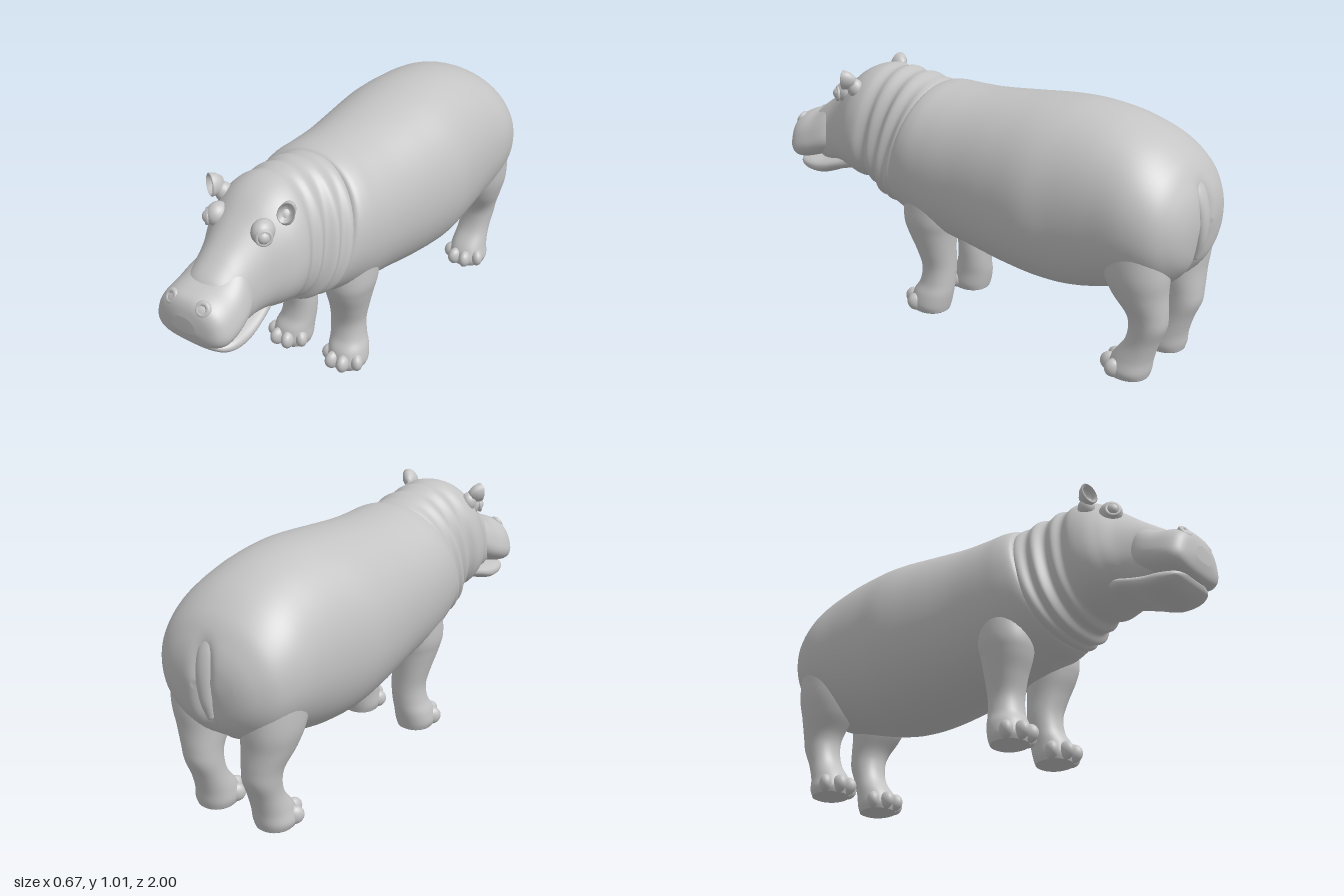
import * as THREE from 'three';

const skin = new THREE.MeshStandardMaterial({ color: 0xc4c4c4 });
skin.name = 'grey skin';

// Smooth Catmull-Rom resampling of rows of numbers
function resample(rows, steps) {
  const out = [];
  const last = rows.length - 1;
  for (let k = 0; k <= last * steps; k++) {
    const i = Math.min(Math.floor(k / steps), last - 1);
    const t = k / steps - i;
    const a = rows[Math.max(i - 1, 0)], b = rows[i], c = rows[i + 1], d = rows[Math.min(i + 2, last)];
    out.push(b.map((v, n) => 0.5 * (2 * v + (c[n] - a[n]) * t
      + (2 * a[n] - 5 * v + 4 * c[n] - d[n]) * t * t
      + (3 * v - a[n] - 3 * c[n] + d[n]) * t * t * t)));
  }
  return out;
}

// Skin over closed rings; each ring has centre c, half axes u and v
function loft(name, rings, { power = 2, taper = 0, shape = null, sides = 56 } = {}) {
  const pos = [], index = [];
  const curve = (v) => Math.sign(v) * Math.abs(v) ** (2 / power);
  for (const { c, u, v } of rings) {
    for (let i = 0; i < sides; i++) {
      const a = (i / sides) * Math.PI * 2;
      const sn = curve(Math.sin(a));
      const cs = curve(Math.cos(a)) * (1 - taper * sn);
      const p = new THREE.Vector3().copy(c).addScaledVector(u, cs).addScaledVector(v, sn);
      if (shape) shape(p);
      pos.push(p.x, p.y, p.z);
    }
  }
  for (let j = 0; j < rings.length - 1; j++) {
    for (let i = 0; i < sides; i++) {
      const a = j * sides + i, b = j * sides + (i + 1) % sides;
      index.push(a, b, a + sides, b, b + sides, a + sides);
    }
  }
  // End caps
  const n = rings.length * sides, e = n - sides;
  for (const r of [rings[0], rings[rings.length - 1]]) {
    const p = r.c.clone();
    if (shape) shape(p);
    pos.push(p.x, p.y, p.z);
  }
  for (let i = 0; i < sides; i++) {
    const k = (i + 1) % sides;
    index.push(n, k, i, n + 1, e + i, e + k);
  }
  const g = new THREE.BufferGeometry();
  g.setAttribute('position', new THREE.Float32BufferAttribute(pos, 3));
  g.setIndex(index);
  g.computeVertexNormals();
  const mesh = new THREE.Mesh(g, skin);
  mesh.name = name;
  return mesh;
}

// Rows: [top z, top y, bottom z, bottom y, half width], from back to front
const along = (rows) => resample(rows, 8).map(([zt, yt, zb, yb, w]) => ({
  c: new THREE.Vector3(0, (yt + yb) / 2, (zt + zb) / 2),
  u: new THREE.Vector3(w, 0, 0),
  v: new THREE.Vector3(0, (yt - yb) / 2, (zt - zb) / 2),
}));

// Rows: [y, centre x, centre z, x radius, z radius], from top to bottom
const down = (rows, side = 1) => resample(rows, 6).map(([y, x, z, rx, rz]) => ({
  c: new THREE.Vector3(x * side, y, z),
  u: new THREE.Vector3(rx, 0, 0),
  v: new THREE.Vector3(0, 0, rz),
}));

function ball(name, x, y, z, rx, ry, rz) {
  const m = new THREE.Mesh(new THREE.SphereGeometry(1, 24, 16), skin);
  m.name = name;
  m.position.set(x, y, z);
  m.scale.set(rx, ry, rz);
  return m;
}

function leg(name, rows, side) {
  const g = new THREE.Group();
  g.name = name;
  g.add(loft('limb', down(rows, side), { power: 2.2, sides: 32 }));
  const [, cx, cz] = rows[rows.length - 1];
  // Four toes fanned round the front of the foot
  for (const deg of [-66, -21, 21, 66]) {
    const a = THREE.MathUtils.degToRad(deg);
    const toe = ball('toe', cx * side + Math.sin(a) * 0.07, 0.038, cz + Math.cos(a) * 0.08, 0.027, 0.038, 0.038);
    toe.rotation.y = a * 0.6;
    g.add(toe);
  }
  return g;
}

export function createModel() {
  const model = new THREE.Group();
  model.name = 'hippopotamus';

  // Barrel body with a groove between the buttocks
  model.add(loft('body', along([
    [-0.998, 0.64, -0.993, 0.58, 0.05], [-0.985, 0.72, -0.975, 0.48, 0.15],
    [-0.955, 0.79, -0.94, 0.42, 0.22], [-0.90, 0.865, -0.88, 0.37, 0.275],
    [-0.80, 0.935, -0.78, 0.34, 0.306], [-0.66, 0.985, -0.64, 0.295, 0.313],
    [-0.50, 1.005, -0.50, 0.262, 0.322], [-0.36, 1.0, -0.36, 0.258, 0.334],
    [-0.20, 0.983, -0.18, 0.275, 0.318], [-0.03, 0.966, 0.0, 0.305, 0.297],
    [0.10, 0.962, 0.18, 0.335, 0.288], [0.18, 0.962, 0.30, 0.375, 0.28],
    [0.225, 0.95, 0.38, 0.41, 0.258], [0.232, 0.91, 0.39, 0.46, 0.21],
  ]), {
    power: 2.1,
    sides: 72,
    shape: (p) => {
      const rear = THREE.MathUtils.smoothstep(-p.z, 0.85, 0.97) * THREE.MathUtils.smoothstep(0.82 - p.y, 0, 0.15);
      p.z += 0.04 * rear * Math.exp(-((p.x / 0.035) ** 2));
    },
  }));

  // Folded neck running into the skull
  model.add(loft('neckAndHead', along([
    [0.17, 0.93, 0.32, 0.43, 0.22], [0.235, 0.955, 0.39, 0.41, 0.25],
    [0.275, 0.963, 0.42, 0.425, 0.226], [0.32, 0.975, 0.45, 0.42, 0.235],
    [0.36, 0.973, 0.475, 0.45, 0.202], [0.41, 0.986, 0.505, 0.455, 0.214],
    [0.45, 0.98, 0.535, 0.48, 0.198], [0.50, 0.986, 0.58, 0.48, 0.216],
    [0.56, 0.972, 0.64, 0.495, 0.208], [0.62, 0.94, 0.69, 0.505, 0.182],
    [0.69, 0.882, 0.74, 0.50, 0.152], [0.76, 0.825, 0.78, 0.49, 0.135],
    [0.82, 0.78, 0.83, 0.50, 0.125], [0.88, 0.735, 0.86, 0.53, 0.11],
    [0.91, 0.70, 0.88, 0.56, 0.07],
  ]), { power: 2.2, taper: 0.12 }));

  // Broad upper muzzle overhanging the lower jaw
  model.add(loft('upperMuzzle', along([
    [0.74, 0.80, 0.72, 0.61, 0.10], [0.80, 0.768, 0.78, 0.56, 0.14],
    [0.87, 0.727, 0.86, 0.525, 0.157], [0.93, 0.712, 0.93, 0.503, 0.158],
    [0.97, 0.697, 0.965, 0.507, 0.143], [0.99, 0.67, 0.985, 0.525, 0.112],
    [1.0, 0.63, 0.998, 0.565, 0.05],
  ]), { power: 2.6, taper: 0.2 }));
  model.add(loft('lowerJaw', along([
    [0.64, 0.60, 0.62, 0.51, 0.12], [0.72, 0.56, 0.72, 0.488, 0.14],
    [0.80, 0.54, 0.82, 0.452, 0.148], [0.88, 0.53, 0.90, 0.456, 0.143],
    [0.935, 0.52, 0.945, 0.48, 0.115], [0.958, 0.515, 0.958, 0.50, 0.06],
  ]), { power: 2.4 }));

  // Flat tail lying between the buttocks
  model.add(loft('tail', down([
    [0.81, 0, -0.915, 0.02, 0.015], [0.74, 0, -0.955, 0.036, 0.02],
    [0.65, 0, -0.975, 0.034, 0.022], [0.55, 0, -0.972, 0.024, 0.02],
    [0.47, 0, -0.95, 0.01, 0.012],
  ]), { sides: 20 }));

  const frontLeg = [
    [0.56, 0.15, 0.17, 0.10, 0.11], [0.43, 0.148, 0.18, 0.103, 0.115],
    [0.36, 0.143, 0.18, 0.093, 0.103], [0.28, 0.134, 0.168, 0.08, 0.083],
    [0.20, 0.124, 0.16, 0.072, 0.07], [0.13, 0.128, 0.165, 0.073, 0.072],
    [0.08, 0.138, 0.18, 0.08, 0.083], [0.03, 0.142, 0.19, 0.083, 0.083],
    [0, 0.142, 0.19, 0.073, 0.075],
  ];
  const hindLeg = [
    [0.60, 0.165, -0.78, 0.12, 0.14], [0.45, 0.163, -0.80, 0.115, 0.128],
    [0.36, 0.155, -0.815, 0.10, 0.107], [0.28, 0.145, -0.843, 0.08, 0.08],
    [0.22, 0.14, -0.847, 0.073, 0.072], [0.15, 0.137, -0.825, 0.07, 0.066],
    [0.08, 0.138, -0.79, 0.077, 0.08], [0.03, 0.142, -0.778, 0.083, 0.085],
    [0, 0.142, -0.778, 0.073, 0.077],
  ];

  // Cupped ear outline, outer wall then inner wall
  const earProfile = [[0, -0.035], [0.02, -0.03], [0.034, -0.005], [0.038, 0.02], [0.033, 0.024],
    [0.026, 0.005], [0.015, -0.01], [0, -0.014]].map(([x, y]) => new THREE.Vector2(x, y));
  const up = new THREE.Vector3(0, 1, 0), ahead = new THREE.Vector3(0, 0, 1);

  for (const s of [1, -1]) {
    const label = s > 0 ? 'left' : 'right';
    model.add(leg(label + 'FrontLeg', frontLeg, s), leg(label + 'HindLeg', hindLeg, s));

    // Eye bulge, eyeball and lid
    model.add(ball(label + 'Brow', s * 0.105, 0.855, 0.665, 0.042, 0.048, 0.05));
    model.add(ball(label + 'Eye', s * 0.128, 0.85, 0.69, 0.024, 0.026, 0.026));
    const lid = new THREE.Mesh(new THREE.TorusGeometry(0.026, 0.008, 10, 28), skin);
    lid.name = label + 'Eyelid';
    lid.position.set(s * 0.132, 0.85, 0.693);
    lid.quaternion.setFromUnitVectors(ahead, new THREE.Vector3(s * 0.75, 0.1, 0.65).normalize());
    model.add(lid);

    // Raised nostril rim
    const nostril = new THREE.Mesh(new THREE.TorusGeometry(0.021, 0.011, 12, 28), skin);
    nostril.name = label + 'Nostril';
    nostril.position.set(s * 0.072, 0.675, 0.968);
    nostril.quaternion.setFromUnitVectors(ahead, new THREE.Vector3(s * 0.2, 0.5, 0.85).normalize());
    model.add(nostril);

    const ear = new THREE.Mesh(new THREE.LatheGeometry(earProfile, 28), skin);
    ear.name = label + 'Ear';
    ear.position.set(s * 0.168, 0.93, 0.6);
    ear.scale.set(0.85, 1, 1.2);
    ear.quaternion.setFromUnitVectors(up, new THREE.Vector3(s * 0.4, 0.1, 0.9).normalize());
    model.add(ear, ball(label + 'EarBase', s * 0.145, 0.895, 0.58, 0.032, 0.04, 0.035));
  }
  return model;
}
